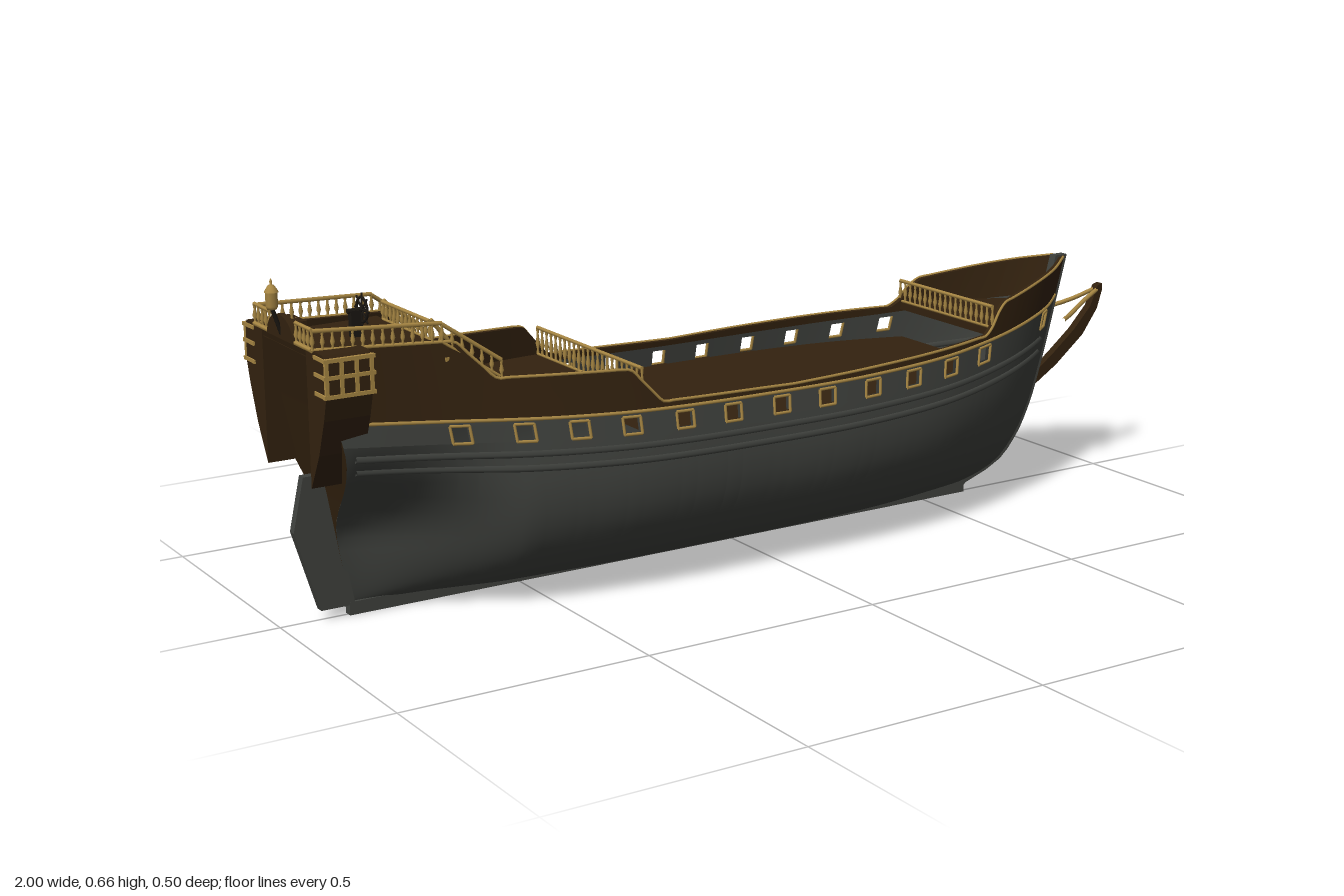
import * as THREE from 'three';

const mat = (name, color, side = THREE.FrontSide) =>
  Object.assign(new THREE.MeshStandardMaterial({ color, side }), { name });
const V = (x, y, z) => new THREE.Vector3(x, y, z);
const table = (Kind, pts) => {
  const f = new Kind(pts.map(p => p[0]), pts.map(p => p[1]), 1, new Float32Array(1));
  return x => f.evaluate(x)[0];
};
const smooth = THREE.MathUtils.smoothstep;

// Hull lines: beam along the length, raked ends, colour border and stepped sheer
const beam = table(THREE.CubicInterpolant, [[0, .165], [.13, .185], [.24, .222], [.33, .242], [.5, .245],
  [.63, .243], [.75, .22], [.83, .182], [.91, .125], [.96, .073], [1, .01]]);
const bowX = table(THREE.CubicInterpolant, [[.02, .61], [.05, .69], [.1, .745], [.17, .785], [.24, .81], [.42, .86], [.56, .897]]);
const sternX = table(THREE.LinearInterpolant, [[.02, -.86], [.25, -.9], [.42, -.935], [.56, -.97]]);
const border = table(THREE.CubicInterpolant, [[-.95, .415], [-.6, .385], [-.2, .37], [.2, .37], [.55, .385], [.88, .422]]);
const sheer = table(THREE.LinearInterpolant, [[-1, .555], [-.7, .54], [-.625, .465], [-.365, .455], [-.3, .386],
  [0, .379], [.54, .396], [.59, .455], [.75, .482], [.9, .506]]);
const xAt = (u, y) => sternX(y) + (bowX(y) - sternX(y)) * u;
const uAt = (x, y) => (x - sternX(y)) / (bowX(y) - sternX(y));
function halfWidth(u, y) {
  const s = Math.min(1, Math.max(0, (y - .02) / .22)), p = 2.1;
  const round = Math.pow(Math.max(0, 1 - Math.pow(1 - s, p)), 1 / p);
  const run = THREE.MathUtils.lerp(smooth(y, .15, .37) * .93 + .07, 1, smooth(u, 0, .2));
  return Math.max(0, beam(u) * round * run - .13 * Math.max(0, y - .27) * Math.min(1, (1 - u) * 5));
}
// Point on the hull; the height is a function of x
function hullPoint(u, yOf, inset = 0) {
  let x = xAt(u, .4), y = .4;
  for (let i = 0; i < 5; i++) { y = yOf(x); x = xAt(u, y); }
  return V(x, y, Math.max(0, halfWidth(u, y) - inset));
}
// Surface over columns us and rows vs
function grid(us, vs, fn, flip, skip = () => false) {
  const pos = [], idx = [], n = vs.length;
  us.forEach(u => vs.forEach(v => pos.push(...fn(u, v).toArray())));
  for (let i = 0; i < us.length - 1; i++) {
    if (skip((us[i] + us[i + 1]) / 2)) continue;
    for (let j = 0; j < n - 1; j++) {
      const a = i * n + j, b = a + n, c = b + 1, d = a + 1;
      idx.push(...(flip ? [a, c, b, a, d, c] : [a, b, c, a, c, d]));
    }
  }
  const g = new THREE.BufferGeometry();
  g.setAttribute('position', new THREE.Float32BufferAttribute(pos, 3));
  g.setIndex(idx);
  g.computeVertexNormals();
  return g;
}
const range = (a, b, n) => Array.from({ length: n + 1 }, (_, i) => a + (b - a) * i / n);

export function createModel() {
  const ship = new THREE.Group();
  ship.name = 'ship';
  const grey = mat('hull grey', 0x40423e, THREE.DoubleSide), brown = mat('dark wood', 0x33220f, THREE.DoubleSide);
  const gold = mat('gilded wood', 0xa98844), black = mat('dark iron', 0x1b1712);
  const add = (name, geo, m, x = 0, y = 0, z = 0) => {
    const o = new THREE.Mesh(geo, m);
    o.name = name;
    o.position.set(x, y, z);
    ship.add(o);
    return o;
  };
  const box = (name, m, sx, sy, sz, x, y, z) => add(name, new THREE.BoxGeometry(sx, sy, sz), m, x, y, z);
  const bar = (name, m, p, q, r = .004) => {
    const o = add(name, new THREE.CylinderGeometry(r, r, p.distanceTo(q), 6), m);
    o.position.copy(p).lerp(q, .5);
    o.quaternion.setFromUnitVectors(V(0, 1, 0), q.clone().sub(p).normalize());
  };
  const tube = (name, m, pts, r, n = 60, sides = 6) =>
    add(name, new THREE.TubeGeometry(new THREE.CatmullRomCurve3(pts), n, r, sides), m);
  const slab = (name, m, pts, depth, z = -depth / 2) => add(name, new THREE.ExtrudeGeometry(
    new THREE.Shape(pts.map(p => new THREE.Vector2(...p))), { depth, bevelEnabled: false }), m, 0, 0, z);

  // Gun ports cut the hull columns
  const ports = [-.7, -.58, -.475, -.37, -.255, -.145, -.03, .08, .195, .305, .415, .525, .765]
    .map(x => { const c = uAt(x, .37), h = x > .7 ? .006 : .0105; return [c - h, c + h]; });
  const us = [...range(0, .9, 90), ...range(.903, 1, 24), ...ports.flat()].sort((a, b) => a - b);
  const isPort = u => ports.some(p => u > p[0] && u < p[1]);
  const low = x => border(x) - .042, high = x => border(x) - .009;
  const strips = [
    [grey, x => .02, low, 16], [grey, low, high, 1, isPort], [grey, high, border, 1], [brown, border, sheer, 3]];

  for (const s of [1, -1]) {
    const side = p => { p.z *= s; return p; };
    const band = (name, m, f0, f1, n, inset, skip) => add(name, grid(us, range(0, 1, n), (u, v) =>
      side(hullPoint(u, x => f0(x) + (f1(x) - f0(x)) * (n > 9 ? v * v : v), inset)), (s < 0) !== (inset > 0), skip), m);
    // Outer planking and inner bulwark
    strips.forEach(([m, f0, f1, n, skip], i) => {
      band(m === grey ? 'hull' : 'upperHull', m, f0, f1, n, 0, skip);
      band('innerBulwark', m, i ? f0 : x => low(x) - .03, f1, Math.min(n, 3), .013, skip);
    });
    add('railCap', grid(us, [0, 1], (u, v) => side(hullPoint(u, sheer, v * .013)), s < 0), brown);
    // Mouldings and wales
    const line = (f, a, b, out) => range(a, b, 90).map(u => side(hullPoint(u, f, -out)));
    tube('borderTrim', gold, line(border, 0, .995, .001), .0035, 120, 5);
    tube('railTrim', gold, line(sheer, 0, .995, 0), .003, 180, 5);
    for (const d of [.066, .093]) tube('wale', grey, line(x => border(x) - d, .01, .955, 0), .0065, 120, 4);
    // Port frames
    for (const [a, b] of ports) {
      const c = [[a, low], [b, low], [b, high], [a, high]].map(([u, f]) => side(hullPoint(u, f, -.001)));
      c.forEach((p, i) => bar('portFrame', gold, p, c[(i + 1) % 4], .003));
    }
    // Quarter gallery with gilded windows
    const prof = [[.1, .552], [.172, .552], [.182, .54], [.182, .475], [.168, .43], [.14, .36], [.1, .29]];
    const gallery = slab('quarterGallery', brown, prof.map(([z, y]) => [z * s, y]), .09, 0);
    gallery.rotation.y = -Math.PI / 2;
    gallery.position.x = -.877;
    for (const x of range(-.965, -.878, 3)) box('galleryPost', gold, .007, .07, .007, x, .51, .182 * s);
    for (const y of [.477, .512, .543]) {
      box('galleryRail', gold, .1, .007, .008, -.921, y, .182 * s);
      for (const x of [-.967, -.877]) box('galleryEndRail', gold, .006, .007, .045, x, y, .16 * s);
    }
    // Curved head rails
    tube('headRail', gold, [V(.835, .372, .068 * s), V(.875, .376, .045 * s), V(.93, .392, .02 * s), V(.985, .412, .005 * s)], .005, 20);
  }

  // Transom closing the stern
  add('transom', grid([-1, 1], range(.02, .555, 24), (k, y) => V(sternX(y), y, k * halfWidth(0, y)), true), brown);
  bar('transomTrim', gold, V(-.968, .553, -.13), V(-.968, .553, .13), .005);

  // Decks and the bulkheads between them
  const deck = (name, x0, x1, y) => add(name, grid(range(x0, x1, 30), [-1, 1], (x, k) =>
    V(x, y, -k * Math.max(.002, halfWidth(Math.min(1, uAt(x, y)), y) - .006)), false), brown);
  deck('mainDeck', -.335, .56, .327);
  deck('quarterDeck', -.76, -.33, .392);
  deck('poopDeck', -.965, -.72, .535);
  deck('foreDeck', .555, .862, .405);
  const bulkhead = (x, y0, y1) => {
    const w = Math.min(halfWidth(uAt(x, y1), y1), halfWidth(uAt(x, y0), y0)) - .006;
    box('bulkhead', brown, .008, y1 - y0, w * 2, x, (y0 + y1) / 2, 0);
  };
  bulkhead(-.332, .38, .392);
  bulkhead(.557, .39, .405);
  bulkhead(-.722, .392, .535);
  box('bulkheadBeam', gold, .008, .008, .31, -.715, .508, 0);
  box('doorHead', gold, .01, .008, .055, -.715, .517, 0);
  for (const z of [-.022, .022]) box('doorPost', gold, .008, .115, .006, -.716, .455, z);

  // Balustrades with turned posts
  const baluster = new THREE.LatheGeometry([[.003, 0], [.0022, .2], [.0045, .4], [.002, .75], [.0035, 1]]
    .map(p => new THREE.Vector2(...p)), 6);
  const rail = (p, q, n, h) => {
    const up = V(0, h, 0);
    bar('handrail', gold, p.clone().add(up), q.clone().add(up), .0042);
    bar('footrail', gold, p, q, .003);
    for (const t of range(0, 1, n)) {
      const b = add('baluster', baluster, gold);
      b.position.lerpVectors(p, q, t);
      b.scale.y = h;
    }
  };
  rail(V(-.332, .395, -.205), V(-.332, .395, .205), 22, .055);
  rail(V(.557, .408, -.16), V(.557, .408, .16), 18, .045);
  rail(V(-.722, .536, -.1), V(-.722, .536, .1), 12, .034);
  for (const s of [1, -1]) {
    rail(V(-.967, .553, .06 * s), V(-.967, .553, .13 * s), 4, .037);
    rail(V(-.967, .553, .13 * s), V(-.722, .541, .15 * s), 13, .035);
    rail(V(-.722, .541, .15 * s), V(-.61, .463, .165 * s), 6, .033);
    rail(V(-.72, .535, .1 * s), V(-.61, .397, .1 * s), 6, .038);
    // Stairs up to the poop
    for (let i = 0; i < 7; i++) {
      const y = .392 + (i + 1) * .0195;
      box('step', brown, .016, y - .392, .045, -.618 - i * .0157, (y + .392) / 2, .122 * s);
    }
  }

  // Rounded taffrail board at the stern
  const arch = add('taffrail', new THREE.CylinderGeometry(.06, .06, .012, 24, 1, false, 0, Math.PI), brown, -.967, .55, 0);
  arch.rotation.set(0, 0, Math.PI / 2);
  arch.scale.x = .75;

  // Steering wheel
  box('wheelStand', black, .02, .05, .014, -.825, .56, 0);
  const rim = add('wheelRim', new THREE.TorusGeometry(.023, .0028, 6, 24), black, -.81, .584, 0);
  rim.rotation.y = Math.PI / 2;
  for (let i = 0; i < 4; i++) {
    const y = Math.cos(i * Math.PI / 4) * .032, z = Math.sin(i * Math.PI / 4) * .032;
    bar('wheelSpoke', black, V(-.81, .584 - y, -z), V(-.81, .584 + y, z), .0018);
  }
  bar('wheelAxle', black, V(-.84, .584, 0), V(-.805, .584, 0), .005);

  // Stern lantern
  bar('lanternBracket', black, V(-.967, .55, 0), V(-.986, .608, 0), .004);
  add('lantern', new THREE.LatheGeometry([[0, .604], [.009, .606], [.012, .612], [.012, .637], [.014, .638],
    [.006, .65], [.002, .652], [.003, .657], [0, .664]].map(p => new THREE.Vector2(...p)), 8), gold, -.986, 0, 0);

  // Keel, stem, rudder and beakhead
  box('keel', grey, 1.475, .026, .019, -.125, .013, 0);
  const ys = range(.02, .505, 24);
  slab('stem', grey, [[.6, 0], ...ys.map(y => [bowX(y) + .007, y]), ...ys.reverse().map(y => [bowX(y) - .025, y])], .019);
  slab('rudder', grey, [[-.85, .02], [-.92, .02], [-.968, .18], [-.945, .285], [-.9, .285]], .018);
  slab('beakhead', brown, [[.795, .225], [.86, .272], [.92, .32], [.965, .367], [.985, .412], [.998, .416], [.998, .4],
    [.985, .36], [.945, .305], [.87, .245], [.805, .205]].map(([x, y]) => [x, y + .01]), .018);
  return ship;
}
